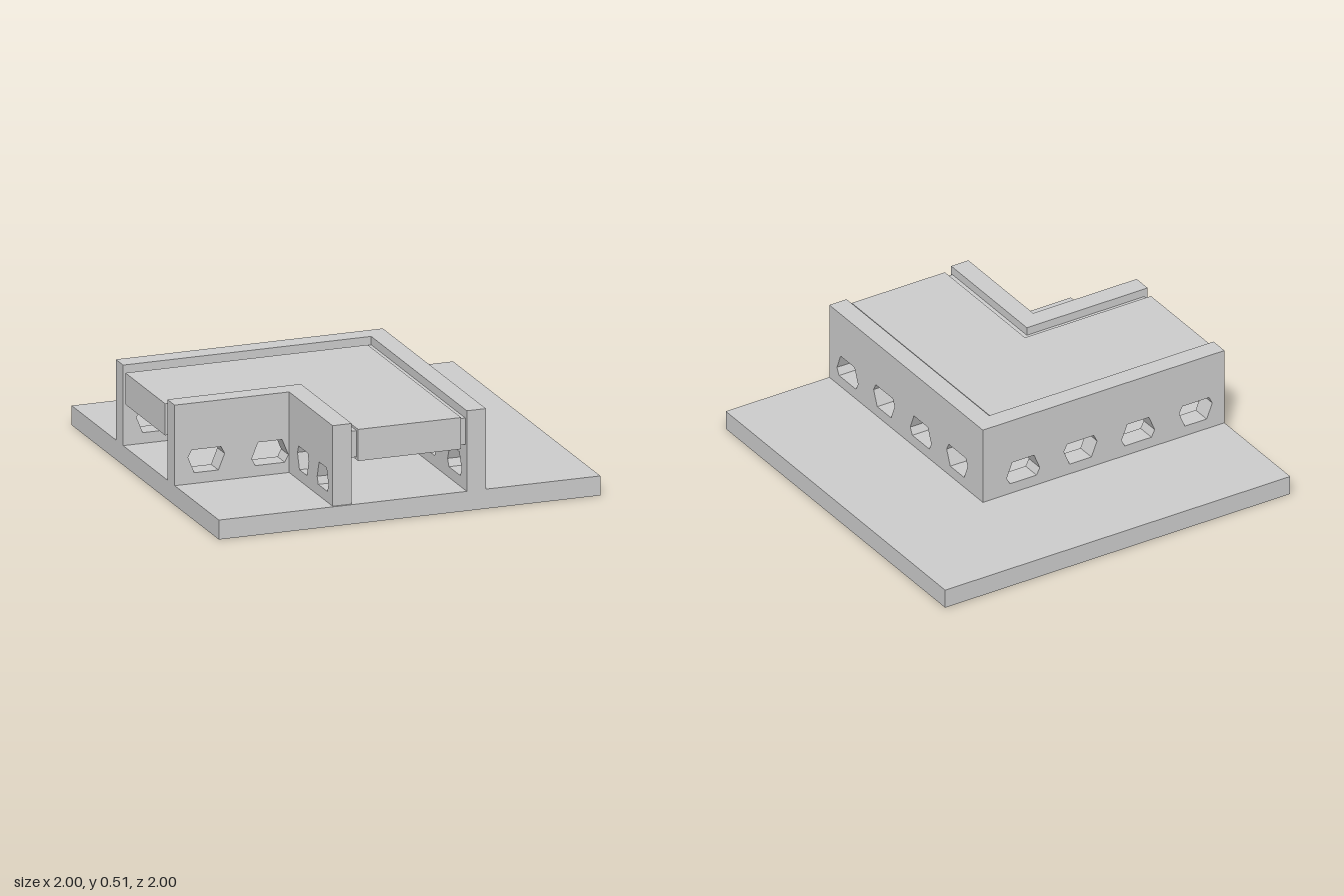
import * as THREE from 'three';

const BASE = 0.1, TOP = 0.513;

export function createModel() {
  const group = new THREE.Group();
  const material = new THREE.MeshStandardMaterial({ color: 0xcccccc, flatShading: true });
  const add = (name, geometry) => {
    const mesh = new THREE.Mesh(geometry, material);
    mesh.name = name;
    group.add(mesh);
    return mesh;
  };

  // Six-sided opening, widest near its top (or near its bottom when flipped)
  const opening = (cx, scale, flipped) => {
    const points = [[-0.054, -0.059], [0.063, -0.059], [0.096, 0.022], [0.077, 0.059], [-0.077, 0.059], [-0.096, 0.022]];
    points[0][0] = -0.063;
    return new THREE.Path(points.map(([x, y]) =>
      new THREE.Vector2(cx + x * scale, 0.214 + (flipped ? -y : y))));
  };

  // Upright wall from a to b with openings, 0.1 thick
  const wall = (a, b, openings) => {
    const shape = new THREE.Shape([[a, BASE], [b, BASE], [b, TOP], [a, TOP]]
      .map(([x, y]) => new THREE.Vector2(x, y)));
    for (const [cx, scale, flipped] of openings) shape.holes.push(opening(cx, scale, flipped));
    return new THREE.ExtrudeGeometry(shape, { depth: 0.1, bevelEnabled: false });
  };

  // Wall running along x, back face at z
  const wallX = (name, a, b, z, openings) => add(name, wall(a, b, openings).translate(0, 0, z));
  // Wall running along z, its left-most face at x
  const wallZ = (name, a, b, x, openings) =>
    add(name, wall(-b, -a, openings.map(([c, s, f]) => [-c, s, f])).rotateY(Math.PI / 2).translate(x, 0, 0));

  // L-shaped slab: half width w, ends at distance e, between heights y0 and y1
  const slab = (name, w, e, y0, y1) => {
    const shape = new THREE.Shape([[-e, -w], [-w, -w], [-w, -e], [w, -e], [w, w], [-e, w]]
      .map(([x, y]) => new THREE.Vector2(x, y)));
    const geometry = new THREE.ExtrudeGeometry(shape, { depth: y1 - y0, bevelEnabled: false });
    add(name, geometry.rotateX(-Math.PI / 2).translate(0, y0, 0));
  };

  add('basePlate', new THREE.BoxGeometry(2, BASE, 2).translate(0, BASE / 2, 0));

  // Outer corner walls
  const centres = [-0.834, -0.5, -0.166, 0.166];
  wallX('outerBackWall', -1, 0.3, -0.4, centres.map((c, i) => [c, 1, i % 2 === 1]));
  wallZ('outerSideWall', -0.4, 1, 0.3, centres.map((c, i) => [-c, 1, i % 2 === 0]));

  // Inner corner walls, the side one with narrower openings
  wallX('innerFrontWall', -1, -0.4, 0.3, [[-0.834, 1, false], [-0.5, 1, true]]);
  wallZ('innerSideWall', 0.3, 0.99, -0.4, [[0.857, 0.8, true], [0.59, 0.8, false]]);

  // Raised deck and the tongue that joins it to the walls
  slab('deck', 0.27, 1, 0.32, 0.482);
  slab('deckTongue', 0.3, 0.98, 0.335, 0.47);

  return group;
}
